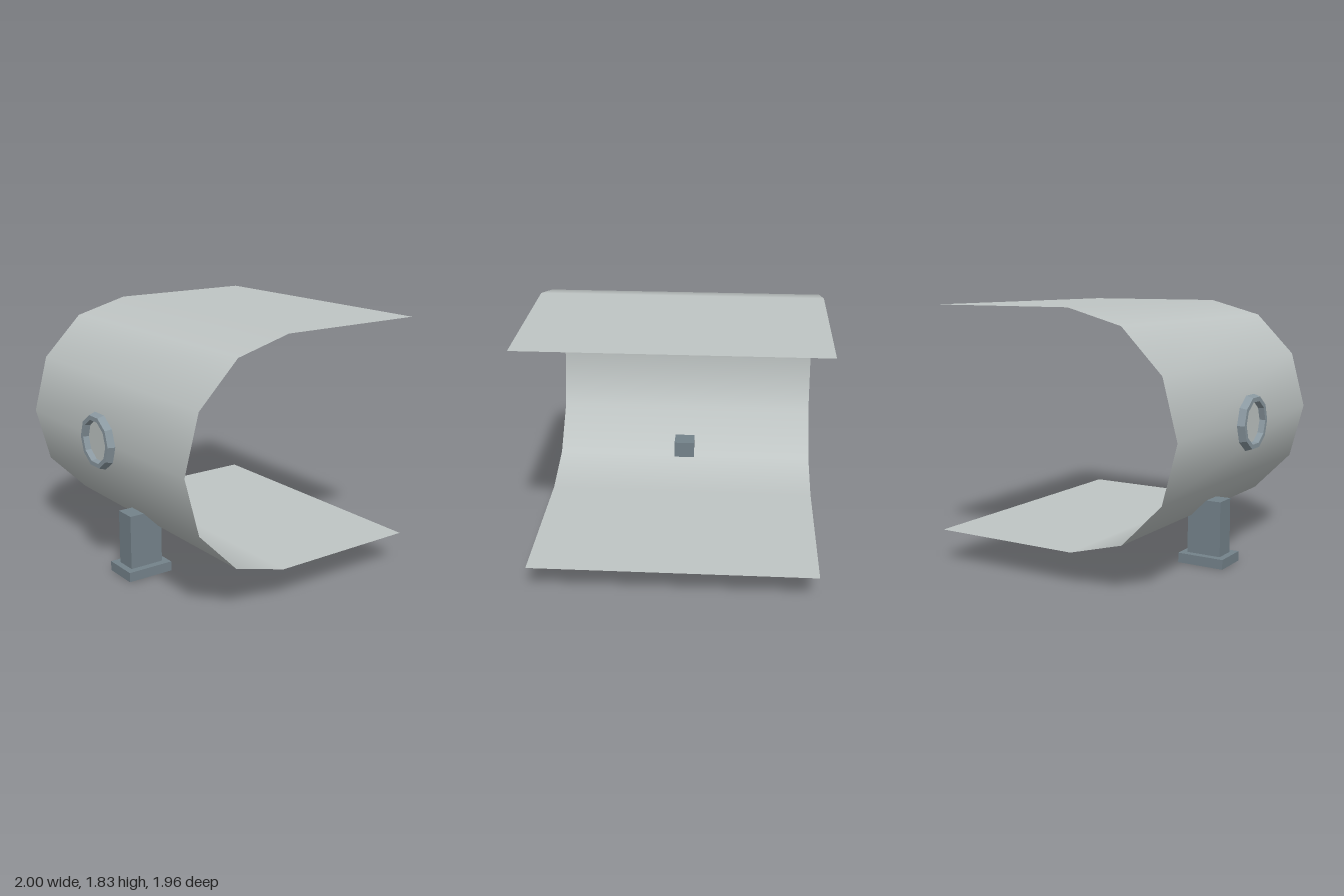
import * as THREE from 'three';

export function createModel() {
  const model = new THREE.Group();
  const shellMat = new THREE.MeshStandardMaterial({ name: 'pale grey shell', color: 0xbfc5c4, side: THREE.DoubleSide });
  const legMat = new THREE.MeshStandardMaterial({ name: 'slate grey', color: 0x74828a, flatShading: true });
  const rimMat = new THREE.MeshStandardMaterial({ name: 'blue grey rim', color: 0x8a98a0, flatShading: true, side: THREE.DoubleSide });

  const add = (name, geometry, material, x, y, z) => {
    const mesh = new THREE.Mesh(geometry, material);
    mesh.name = name;
    mesh.position.set(x, y, z);
    model.add(mesh);
    return mesh;
  };

  // Open shell: flat top and bottom joined by a half-round front in six steps
  const R = 0.796, CY = 1.034, CZ = 0.124, BACK = -0.98;
  const profile = [[CY + R, BACK, 1, 0]];
  for (let i = 0; i <= 6; i++) {
    const a = (i * Math.PI) / 6;
    profile.push([CY + R * Math.cos(a), CZ + R * Math.sin(a), Math.cos(a), Math.sin(a)]);
  }
  profile.push([CY - R, BACK, -1, 0]);
  const shell = new THREE.PlaneGeometry(2, 2, 1, profile.length - 1);
  const pos = shell.attributes.position, nor = shell.attributes.normal;
  for (let i = 0; i < pos.count; i++) {
    const [y, z, ny, nz] = profile[Math.floor(i / 2)];
    pos.setXYZ(i, pos.getX(i), y, z);
    nor.setXYZ(i, 0, ny, nz);
  }
  add('shell', shell, shellMat, 0, 0, 0);

  // Ten-sided porthole rim with a tapered outside, facing forward
  const rimProfile = [[0.2, 0.928], [0.184, 0.977], [0.152, 0.977], [0.146, 0.928]]
    .map(([r, z]) => new THREE.Vector2(r, z));
  const rim = new THREE.LatheGeometry(rimProfile, 10, Math.PI / 2);
  rim.rotateX(Math.PI / 2);
  add('portholeRim', rim, rimMat, 0, CY, 0);

  // Pane inside the rim
  add('portholePane', new THREE.CircleGeometry(0.15, 10), shellMat, 0, CY, 0.935);

  // Leg reaching into the shell, with its foot
  add('leg', new THREE.BoxGeometry(0.156, 0.395, 0.256), legMat, 0, 0.2675, 0.625);
  add('foot', new THREE.BoxGeometry(0.26, 0.07, 0.35), legMat, 0, 0.035, 0.625);

  return model;
}
